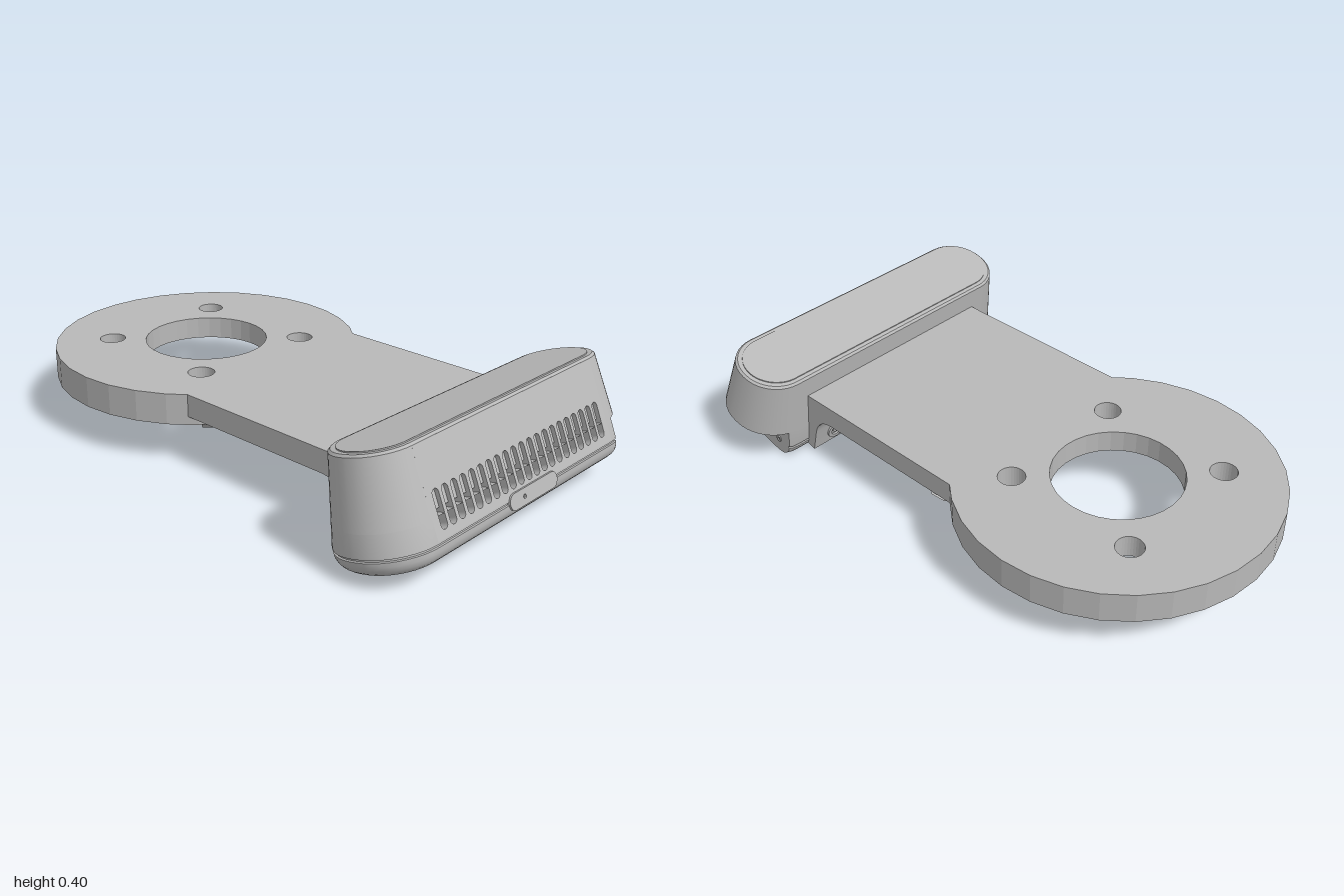
import * as THREE from 'three';
import { toCreasedNormals } from 'three/addons/utils/BufferGeometryUtils.js';

const grey = new THREE.MeshStandardMaterial({ color: 0xb8b8b8, side: THREE.DoubleSide });
grey.name = 'light grey';

function add(parent, name, geo, pos = [0, 0, 0], rot = [0, 0, 0]) {
  const m = new THREE.Mesh(geo, grey);
  m.name = name;
  m.position.set(...pos);
  m.rotation.set(...rot);
  parent.add(m);
  return m;
}

// Pill outline (a circle when w equals h)
function pill(w, h, Type = THREE.Shape, cx = 0, cy = 0) {
  const s = new Type(), r = h / 2, e = w / 2 - r;
  s.absarc(cx + e, cy, r, -Math.PI / 2, Math.PI / 2, false);
  s.absarc(cx - e, cy, r, Math.PI / 2, Math.PI * 1.5, false);
  return s;
}
function upright(w, h, cx, cy) {
  const s = new THREE.Path(), r = w / 2, e = h / 2 - r;
  s.absarc(cx, cy + e, r, 0, Math.PI, false);
  s.absarc(cx, cy - e, r, Math.PI, Math.PI * 2, false);
  return s;
}
const extrude = (shape, depth, curveSegments = 8) =>
  new THREE.ExtrudeGeometry(shape, { depth, bevelEnabled: false, curveSegments });

// Thin rim round a port or screw hole
function rim(w, h, wall = 0.006, depth = 0.004) {
  const s = pill(w, h);
  s.holes.push(pill(w - 2 * wall, h - 2 * wall, THREE.Path));
  return extrude(s, depth);
}

// Rounded housing section at height h, tapering upwards; maxX cuts the end flat
const N = 10;
function section(h, inset, maxX) {
  const t = Math.max(0, (h - 0.07) / 0.275);
  const mix = (a, b) => a + (b - a) * t;
  const hw = mix(0.625, 0.587) - inset, back = mix(-0.045, -0.008) + inset;
  const front = mix(0.3, 0.262) - inset, r = mix(0.165, 0.13) - inset;
  const pts = [];
  for (let q = 0; q < 4; q++) {
    const cx = (q === 0 || q === 3 ? 1 : -1) * (hw - r);
    const cz = q < 2 ? front - r : back + r;
    for (let i = 0; i <= N; i++) {
      const a = (q + i / N) * Math.PI / 2;
      pts.push([Math.min(maxX, cx + r * Math.cos(a)), h, cz + r * Math.sin(a)]);
    }
  }
  return pts;
}

// Loft through [height, inset] levels, leaving the flat front open for the grille
function loft(levels, maxX, capTop) {
  const rows = levels.map(([h, inset]) => section(h, inset, maxX));
  const pos = [], n = rows[0].length;
  const tri = (...p) => p.forEach(v => pos.push(...v));
  for (let j = 0; j < rows.length - 1; j++) {
    const open = levels[j][0] >= 0.07 && levels[j + 1][0] <= 0.345;
    for (let i = 0; i < n; i++) {
      if (open && i === N) continue;
      const k = (i + 1) % n, a = rows[j], b = rows[j + 1];
      tri(a[i], b[i], a[k]);
      tri(b[i], b[k], a[k]);
    }
  }
  const top = rows[rows.length - 1], bot = rows[0];
  for (let i = 0; i < n; i++) {
    const k = (i + 1) % n;
    tri([0, bot[0][1], 0.13], bot[i], bot[k]);
    if (capTop) tri([0, top[0][1], 0.13], top[k], top[i]);
  }
  const g = new THREE.BufferGeometry();
  g.setAttribute('position', new THREE.Float32BufferAttribute(pos, 3));
  return toCreasedNormals(g, 0.5);
}

function buildMount() {
  const g = new THREE.Group();
  g.name = 'mountingPlate';
  const cz = -0.445, R = 0.555;
  const circle = (r, Type, x = 0, y = 0) => new Type().absarc(x, y, r, 0, Math.PI * 2, false);

  // Round plate with centre opening and four bolt holes
  const disc = circle(R, THREE.Shape);
  disc.holes.push(circle(0.225, THREE.Path));
  for (const x of [-0.247, 0.247])
    for (const y of [-0.247, 0.247]) disc.holes.push(circle(0.047, THREE.Path, x, y));
  add(g, 'roundPlate', extrude(disc, 0.08, 16), [0, 0.255, cz], [Math.PI / 2, 0, 0]);

  // Rim that forms the recess underneath
  const ring = circle(R, THREE.Shape);
  ring.holes.push(circle(0.44, THREE.Path));
  add(g, 'lowerRim', extrude(ring, 0.03, 16), [0, 0.175, cz], [Math.PI / 2, 0, 0]);

  // Sloped step between rim and arm
  const step = [[0.53, 0.145], [0.575, 0.145], [0.615, 0.176]].map(p => new THREE.Vector2(...p));
  const half = Math.asin(0.415 / 0.6);
  add(g, 'rimStep', toCreasedNormals(new THREE.LatheGeometry(step, 20, -half, half * 2), 0.3), [0, 0, cz]);

  // Arm that curves down into a flange behind the housing
  const arm = new THREE.Shape();
  arm.moveTo(0.08, 0.255);
  arm.lineTo(-0.66, 0.255);
  arm.lineTo(-0.69, 0.025);
  arm.lineTo(-0.645, 0.012);
  arm.lineTo(-0.62, 0.1);
  arm.bezierCurveTo(-0.605, 0.15, -0.575, 0.175, -0.52, 0.175);
  arm.lineTo(0.08, 0.175);
  add(g, 'arm', toCreasedNormals(extrude(arm, 0.83, 12), 0.4), [-0.415, 0, 0], [0, Math.PI / 2, 0]);
  return g;
}

function buildHousing() {
  const g = new THREE.Group();
  g.name = 'housing';
  g.position.set(0, 0, 0.73);
  g.rotation.x = -0.265;

  // Lower shell: rounded underside, seam groove, flat end at the port notch
  const lower = [];
  for (let k = 0; k <= 6; k++) {
    const a = k / 6 * Math.PI / 2;
    lower.push([0.055 * (1 - Math.cos(a)), 0.06 * (1 - Math.sin(a))]);
  }
  lower.push([0.057, 0.006], [0.063, 0.006], [0.064, 0], [0.07, 0], [0.135, 0]);
  add(g, 'lowerShell', loft(lower, 0.5, false));
  add(g, 'upperShell', loft([[0.135, 0], [0.345, 0], [0.352, 0.007]], 9, true));
  add(g, 'topLid', extrude(pill(1.13, 0.226), 0.004, 16), [0, 0.352, 0.127], [-Math.PI / 2, 0, 0]);

  // Front panel with a row of vent slots
  const L = 0.2776, panel = new THREE.Shape();
  panel.moveTo(-0.46, 0);
  panel.lineTo(0.46, 0);
  panel.lineTo(0.457, L);
  panel.lineTo(-0.457, L);
  for (let i = -10; i <= 10; i++) panel.holes.push(upright(0.028, 0.118, i * 0.0417, 0.082));
  const grille = new THREE.Group();
  grille.name = 'ventGrille';
  grille.position.set(0, 0.07, 0.3);
  grille.rotation.x = -0.137;
  g.add(grille);
  add(grille, 'slottedPanel', extrude(panel, 0.03), [0, 0, -0.03]);
  add(grille, 'ventBacking', new THREE.BoxGeometry(0.88, 0.15, 0.01), [0, 0.082, -0.034]);
  add(grille, 'ventLedge', new THREE.BoxGeometry(0.88, 0.058, 0.015), [0, 0.111, -0.022]);

  // Pill-shaped window on the front seam, with a pinhole
  const badge = pill(0.25, 0.052);
  badge.holes.push(pill(0.014, 0.014, THREE.Path, -0.05, 0));
  add(g, 'frontWindow', extrude(badge, 0.012), [0, 0.058, 0.293]);

  // Ports on the flat end and screw holes in the notch ceiling
  const side = [0, Math.PI / 2, 0];
  add(g, 'sidePort', rim(0.13, 0.05), [0.5, 0.058, 0.13], side);
  for (const d of [0.02, 0.235]) add(g, 'sideScrewHole', rim(0.024, 0.024), [0.5, 0.06, d], side);
  for (const d of [0.09, 0.18])
    add(g, 'notchHole', rim(0.065, 0.065), [0.55, 0.135, d], [Math.PI / 2, 0, 0]);

  // Underside slots, flange bosses and the slot between them
  for (const s of [-1, 1]) {
    add(g, 'undersideSlot', extrude(pill(0.026, 0.018), 0.003), [s * 0.315, 0, 0.127], [Math.PI / 2, 0, 0]);
    add(g, 'flangeScrewBoss', rim(0.075, 0.075, 0.014, 0.008), [s * 0.32, 0.088, -0.079], [0, Math.PI, 0]);
    add(g, 'flangeScrew', extrude(pill(0.03, 0.03), 0.005), [s * 0.32, 0.088, -0.079], [0, Math.PI, 0]);
  }
  add(g, 'flangeSlot', rim(0.42, 0.045), [0, 0.07, -0.079], [0, Math.PI, 0]);
  return g;
}

export function createModel() {
  const model = new THREE.Group();
  model.name = 'sensorBracket';
  model.add(buildMount(), buildHousing());
  return model;
}
